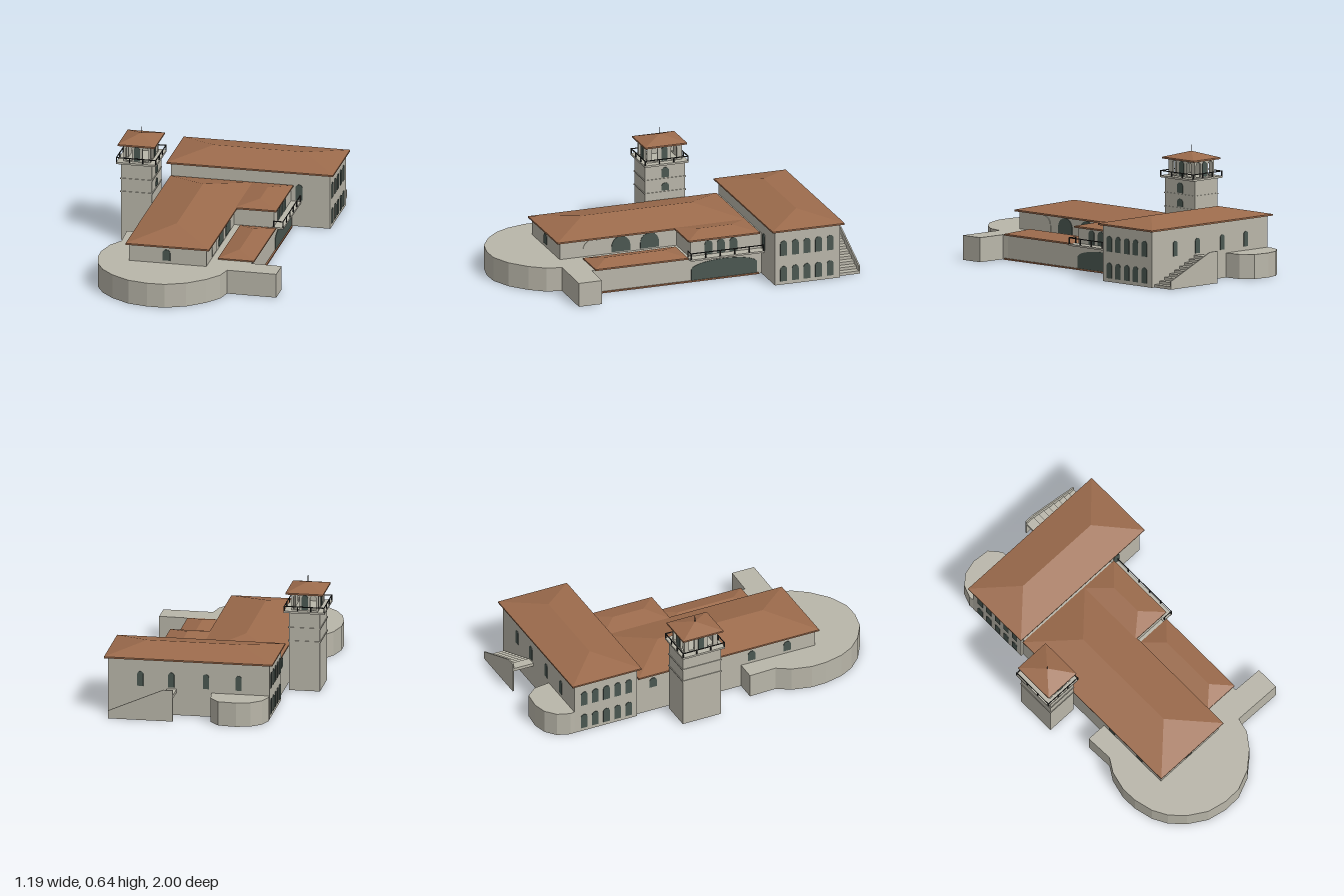
import * as THREE from 'three';
import { ConvexGeometry } from 'three/addons/geometries/ConvexGeometry.js';

const mat = (name, color, side = THREE.FrontSide) => {
  const m = new THREE.MeshStandardMaterial({ color, side });
  m.name = name;
  return m;
};

export function createModel() {
  const stone = mat('stone', 0xb9b6a9);
  const tile = mat('roof tile', 0x9c6b4c);
  const glass = mat('dark glass', 0x4a5751);
  const iron = mat('dark iron', 0x2c2d2b);

  const TILT = 0.058; // the whole plan is turned slightly
  const model = new THREE.Group();
  model.name = 'villa';
  model.rotation.y = -TILT;

  const add = (name, geo, m, parent = model) => {
    const mesh = new THREE.Mesh(geo, m);
    mesh.name = name;
    parent.add(mesh);
    return mesh;
  };
  const group = (name) => {
    const g = new THREE.Group();
    g.name = name;
    model.add(g);
    return g;
  };
  // box from its limits
  const box = (name, m, x0, x1, y0, y1, z0, z1, parent) => {
    const g = new THREE.BoxGeometry(x1 - x0, y1 - y0, z1 - z0);
    g.translate((x0 + x1) / 2, (y0 + y1) / 2, (z0 + z1) / 2);
    return add(name, g, m, parent);
  };
  // plan points given square to the grid, turned into the villa's own axes
  const toPlan = ([x, z]) => {
    const c = Math.cos(TILT), s = Math.sin(TILT);
    return [x * c + z * s, z * c - x * s];
  };
  const rect = (x0, x1, z0, z1) => [[x0, z1], [x1, z1], [x1, z0], [x0, z0]];
  const toShape = (pts) => new THREE.Shape(pts.map(([x, z]) => new THREE.Vector2(x, -z)));

  // plan outline moved inward by t
  const inset = (pts, t) => {
    let area = 0;
    const n = pts.length;
    pts.forEach(([x, z], i) => {
      const [a, b] = pts[(i + 1) % n];
      area += x * b - a * z;
    });
    const sgn = Math.sign(area);
    return pts.map((p, i) => {
      const a = pts[(i + n - 1) % n], b = pts[(i + 1) % n];
      const normal = (q, r) => {
        const dx = r[0] - q[0], dz = r[1] - q[1], l = Math.hypot(dx, dz);
        return [(-dz / l) * sgn, (dx / l) * sgn];
      };
      const n1 = normal(a, p), n2 = normal(p, b);
      const k = t / (1 + n1[0] * n2[0] + n1[1] * n2[1]);
      return [p[0] + (n1[0] + n2[0]) * k, p[1] + (n1[1] + n2[1]) * k];
    });
  };
  const slab = (name, shape, y0, y1, m = stone, parent = model) => {
    const g = new THREE.ExtrudeGeometry(shape, { depth: y1 - y0, bevelEnabled: false });
    g.rotateX(-Math.PI / 2);
    g.translate(0, y0, 0);
    return add(name, g, m, parent);
  };
  // hollow walls, open below, with a floor slab inside or a deck on top
  const shell = (name, pts, h, deck = true) => {
    const g = group(name);
    const ring = toShape(pts), inner = inset(pts, 0.014);
    ring.holes.push(toShape(inner));
    slab(name + ' walls', ring, 0, deck ? h - 0.01 : h, stone, g);
    if (deck) slab(name + ' deck', toShape(pts), h - 0.01, h, stone, g);
    else slab(name + ' floor', toShape(inner), 0.125, 0.135, stone, g);
  };

  // hipped roof: eave band and a ridge running from a to b
  const roof = (name, x0, x1, z0, z1, y0, y1, a, b, parent) => {
    const v = [];
    for (const y of [y0, y0 + 0.009])
      for (const [x, z] of rect(x0, x1, z0, z1)) v.push(new THREE.Vector3(x, y, z));
    v.push(new THREE.Vector3(a[0], y1, a[1]));
    if (b) v.push(new THREE.Vector3(b[0], y1, b[1]));
    add(name, new ConvexGeometry(v), tile, parent);
  };

  // arched outline, base at (x, y); rise is the height of the curved head
  const arch = (Type, w, h, x = 0, y = 0, rise = w / 2) => {
    const s = new Type();
    s.moveTo(x - w / 2, y);
    s.lineTo(x + w / 2, y);
    s.lineTo(x + w / 2, y + h - rise);
    s.absellipse(x, y + h - rise, w / 2, rise, 0, Math.PI, false);
    s.closePath();
    return s;
  };
  const TURN = { front: 0, left: Math.PI / 2, back: Math.PI, right: -Math.PI / 2 };
  const place = (mesh, face, along, y, plane) => {
    mesh.rotation.y = TURN[face];
    if (face === 'front' || face === 'back') mesh.position.set(along, y, plane);
    else mesh.position.set(plane, y, along);
    return mesh;
  };
  const pane = (name, face, along, y, plane, w, h, rise = w / 2, m = glass) => {
    const g = new THREE.ExtrudeGeometry(arch(THREE.Shape, w, h, 0, 0, rise),
      { depth: 0.003, bevelEnabled: false, curveSegments: 10 });
    place(add(name, g, m), face, along, y, plane);
  };

  // railing along a path of plan points
  const railing = (name, pts, y0, y1, step) => {
    const g = group(name);
    for (let i = 0; i + 1 < pts.length; i++) {
      const [ax, az] = pts[i], [bx, bz] = pts[i + 1];
      const r = 0.002, n = Math.max(1, Math.round(Math.hypot(bx - ax, bz - az) / step));
      box('handrail', iron, Math.min(ax, bx) - r, Math.max(ax, bx) + r, y1 - 0.005, y1,
        Math.min(az, bz) - r, Math.max(az, bz) + r, g);
      for (let k = 0; k <= n; k++) {
        const x = ax + ((bx - ax) * k) / n, z = az + ((bz - az) * k) / n, p = 0.003;
        box('post', iron, x - p, x + p, y0, y1, z - p, z + p, g);
      }
    }
  };

  // rounded front terrace with its side arm
  const terrace = [[-0.5, 0.185], [-0.503, 0.345], [-0.555, 0.42], [-0.588, 0.53], [-0.59, 0.62],
    [-0.57, 0.73], [-0.53, 0.815], [-0.46, 0.895], [-0.36, 0.965], [-0.25, 0.995], [-0.15, 0.998],
    [-0.035, 0.957], [0.065, 0.88], [0.13, 0.8], [0.155, 0.715], [0.435, 0.735], [0.443, 0.6],
    [0.27, 0.585]].map(toPlan);
  shell('terrace', [...terrace, [0.3, 0.53], [0.07, 0.53], [0.07, 0.672], [-0.372, 0.672],
    [-0.372, 0.215]], 0.138);

  // rounded bastion at the back
  shell('back bastion', [[-0.335, -0.79], [-0.34, -0.87], [-0.31, -0.94], [-0.25, -0.985],
    [-0.17, -1], [-0.07, -0.985], [-0.02, -0.92], [-0.01, -0.78]].map(toPlan), 0.138);

  // back block
  shell('back block', rect(-0.388, 0.522, -0.823, -0.437), 0.318, false);
  roof('back block roof', -0.408, 0.542, -0.843, -0.417, 0.315, 0.37, [-0.187, -0.632], [0.334, -0.632]);
  for (let i = 0; i < 5; i++) {
    const z = -0.626 + (i - 2) * 0.069;
    for (const y of [0.02, 0.17]) {
      pane('block window', 'left', z, y, 0.522, 0.04, 0.088);
      pane('block window', 'right', z, y, -0.388, 0.04, 0.088);
    }
  }
  for (const x of [0.34, 0.165, -0.03, -0.215]) pane('back window', 'back', x, 0.16, -0.823, 0.034, 0.085);
  pane('balcony door', 'front', 0.344, 0.155, -0.437, 0.04, 0.092);

  // main hall
  shell('hall', rect(-0.372, 0.07, -0.437, 0.672), 0.238, false);
  roof('hall roof', -0.387, 0.09, -0.425, 0.692, 0.236, 0.3, [-0.147, 0.459], [-0.147, -0.19]);
  pane('hall front window', 'front', -0.158, 0.155, 0.672, 0.045, 0.064);
  [0.48, 0.31, 0.14].forEach((z, i) =>
    pane('hall lunette', 'left', z, 0.145, 0.07, 0.11, 0.088, 0.055, i ? glass : stone));
  for (const z of [-0.33, 0.28, 0.5]) pane('hall side window', 'right', z, 0.155, -0.372, 0.045, 0.06);

  // low arcade and the base under the side wing
  shell('arcade base', rect(0.07, 0.303, -0.437, 0.53), 0.138);
  roof('arcade roof', 0.107, 0.313, 0, 0.548, 0.136, 0.172, [0.21, 0.45], [0.21, 0.11]);
  box('ground strip', tile, 0.3, 0.312, 0, 0.008, -0.42, 0.55);
  pane('great arch', 'left', -0.216, 0.008, 0.303, 0.39, 0.108, 0.045);

  // side wing with balcony
  box('side wing', stone, 0.06, 0.298, 0.138, 0.238, -0.437, -0.02);
  roof('side wing roof', 0.075, 0.314, -0.425, -0.003, 0.236, 0.27, [0.197, -0.11], [0.197, -0.3]);
  for (const z of [-0.125, -0.198, -0.272]) pane('wing window', 'left', z, 0.15, 0.298, 0.046, 0.08);
  box('balcony', stone, 0.29, 0.355, 0.138, 0.148, -0.437, 0);
  railing('balcony railing', [[0.3, -0.003], [0.352, -0.003], [0.352, -0.434]], 0.148, 0.185, 0.085);

  // tower
  const cx = -0.485, cz = -0.125;
  const around = (a, b) => rect(cx - a, cx + a, cz - b, cz + b);
  shell('tower', around(0.088, 0.118), 0.45);
  for (const y of [0.283, 0.36]) slab('tower ledge', toShape(around(0.092, 0.122)), y, y + 0.006);
  slab('tower balcony', toShape(around(0.115, 0.13)), 0.45, 0.461);
  railing('tower railing', [...around(0.112, 0.127), around(0.112, 0.127)[0]], 0.461, 0.49, 0.08);
  pane('tower window', 'left', cz, 0.372, cx + 0.088, 0.046, 0.058);
  pane('tower window', 'left', cz, 0.295, cx + 0.088, 0.046, 0.044);

  // arched belvedere on top of the tower
  const LX = 0.076, LZ = 0.103, T = 0.012;
  for (const [face, half, plane, sgn] of [['front', LX, cz + LZ, 1], ['back', LX, cz - LZ, -1],
    ['left', LZ - T, cx + LX, 1], ['right', LZ - T, cx - LX, -1]]) {
    const wall = new THREE.Shape([[-half, 0], [half, 0], [half, 0.1], [-half, 0.1]]
      .map(([x, y]) => new THREE.Vector2(x, y)));
    const gap = half * 0.62, along = face === 'front' || face === 'back' ? cx : cz;
    for (const s of [-1, 1]) wall.holes.push(arch(THREE.Path, 0.034, 0.083, s * gap, 0.005));
    const g = new THREE.ExtrudeGeometry(wall, { depth: T, bevelEnabled: false, curveSegments: 8 });
    place(add('belvedere wall', g, stone), face, along, 0.461, plane - sgn * T);
    pane('belvedere window', face, along, 0.466, plane, 0.036, 0.083);
  }
  roof('tower roof', cx - 0.106, cx + 0.106, cz - 0.124, cz + 0.124, 0.555, 0.6, [cx, cz]);
  const finial = add('finial', new THREE.CylinderGeometry(0.0015, 0.002, 0.04, 6), iron);
  finial.position.set(cx, 0.616, cz);

  // outside stair at the back
  const STEPS = 8, run = 0.31 / STEPS;
  for (let i = 0; i < STEPS; i++) {
    const x = 0.5 - i * run, y = ((i + 1) * 0.15) / (STEPS + 1);
    box('step', stone, x - run, x, Math.max(0, y - 0.025), y, -0.942, -0.823);
  }
  box('stair landing', stone, 0.135, 0.19, 0.132, 0.15, -0.942, -0.823);
  const side = new THREE.Shape([[0.135, 0], [0.5, 0], [0.5, 0.045], [0.19, 0.18], [0.135, 0.18]]
    .map(([x, y]) => new THREE.Vector2(x, y)));
  const parapet = add('stair parapet',
    new THREE.ExtrudeGeometry(side, { depth: 0.008, bevelEnabled: false }), stone);
  parapet.position.z = -0.95;

  const root = new THREE.Group();
  root.name = 'hillside villa';
  root.add(model);
  return root;
}
